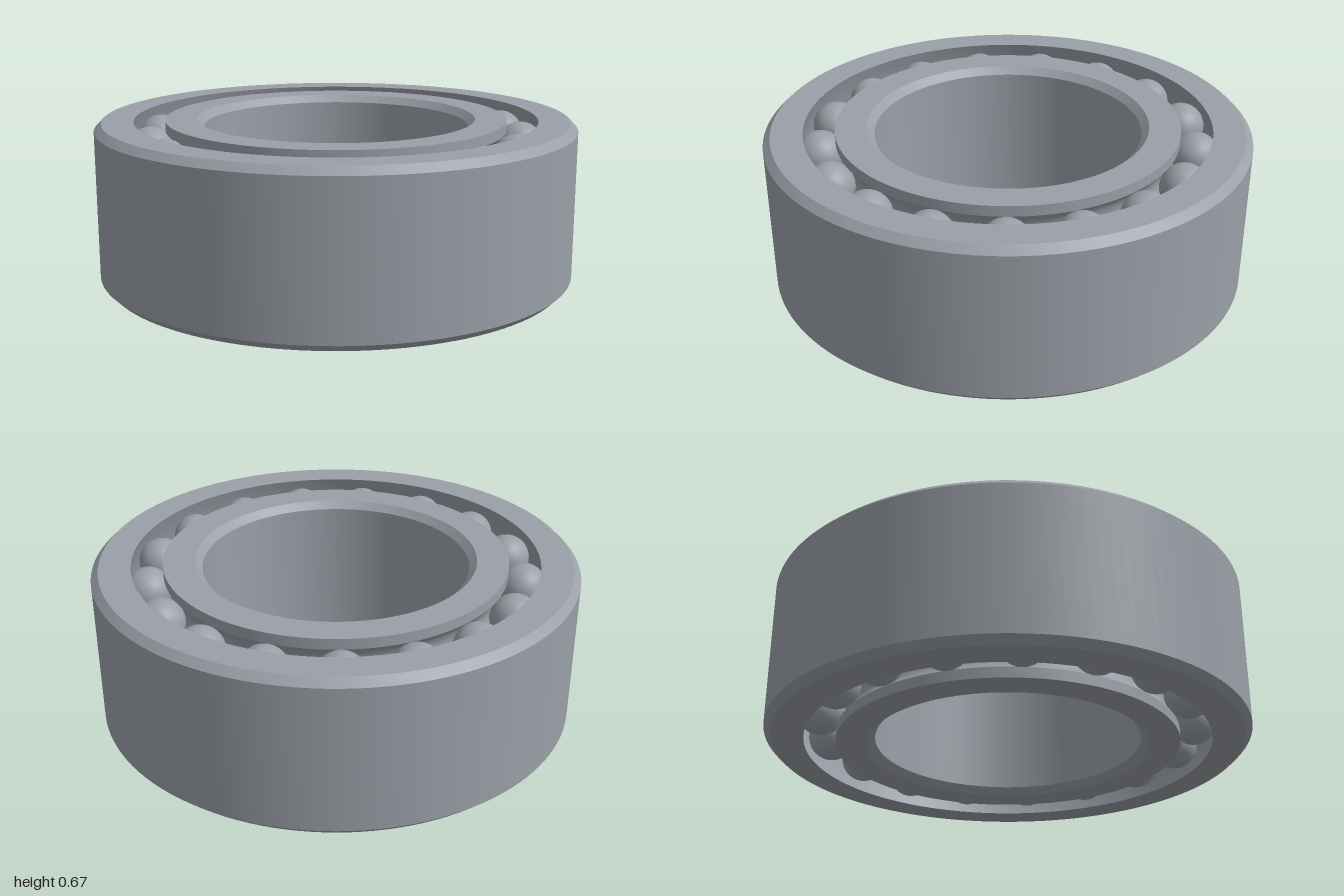
import * as THREE from 'three';
import { toCreasedNormals } from 'three/addons/utils/BufferGeometryUtils.js';

const H = 0.67, MID = H / 2, CH = 0.03;       // height, half height, chamfer
const PITCH = 0.775, BALL = 0.099, ROW = 0.215; // ball circle, ball radius, row offset from middle
const COUNT = 17, PHASE = THREE.MathUtils.degToRad(12);

const steel = new THREE.MeshStandardMaterial({ color: 0x9aa0a8 });
steel.name = 'steel';

// Revolve a closed profile (outer side upwards, inner side downwards)
function ring(name, profile) {
  const points = [...profile, profile[0]].map(([r, y]) => new THREE.Vector2(r, y));
  const mesh = new THREE.Mesh(toCreasedNormals(new THREE.LatheGeometry(points, 128), 0.4), steel);
  mesh.name = name;
  return mesh;
}

// Points on an arc in the (radius, height) plane
function arc(cr, cy, radius, from, to, steps) {
  return Array.from({ length: steps + 1 }, (_, i) => {
    const a = from + (to - from) * i / steps;
    return [cr + radius * Math.cos(a), cy + radius * Math.sin(a)];
  });
}

export function createModel() {
  const model = new THREE.Group();
  model.name = 'ballBearing';

  // Outer ring with one wide spherical raceway
  const race = Math.hypot(PITCH, ROW) + BALL;
  const edge = Math.asin(MID / race);
  model.add(ring('outerRing', [
    [1 - CH, 0], [1, CH], [1, H - CH], [1 - CH, H],
    ...arc(0, MID, race, edge, -edge, 20),
  ]));

  // Inner ring with two grooves
  const shoulder = 0.71, groove = BALL + 0.001;
  const open = Math.acos((PITCH - shoulder) / groove);
  const bore = 0.55;
  model.add(ring('innerRing', [
    [shoulder, 0],
    ...arc(PITCH, MID - ROW, groove, Math.PI + open, Math.PI - open, 12),
    ...arc(PITCH, MID + ROW, groove, Math.PI + open, Math.PI - open, 12),
    [shoulder, H], [bore + CH, H], [bore, H - CH], [bore, CH], [bore + CH, 0],
  ]));

  // Two rows of balls
  const ballGeometry = new THREE.SphereGeometry(BALL, 32, 20);
  for (const [name, y] of [['lowerBalls', MID - ROW], ['upperBalls', MID + ROW]]) {
    const row = new THREE.Group();
    row.name = name;
    for (let i = 0; i < COUNT; i++) {
      const a = PHASE + i * 2 * Math.PI / COUNT;
      const ball = new THREE.Mesh(ballGeometry, steel);
      ball.name = 'ball';
      ball.position.set(PITCH * Math.cos(a), y, PITCH * Math.sin(a));
      row.add(ball);
    }
    model.add(row);
  }
  return model;
}
